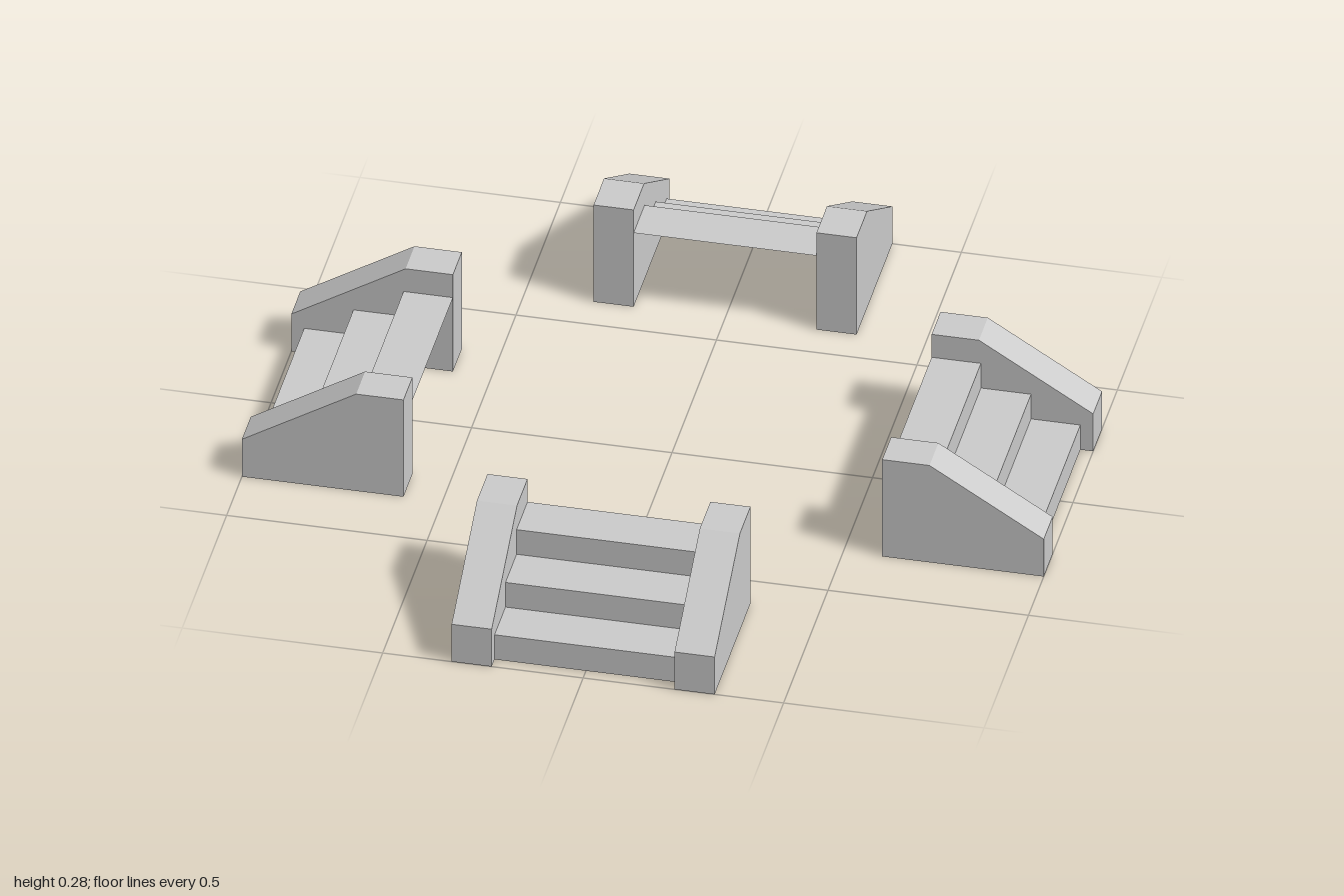
import * as THREE from 'three';

const INNER = 0.597, OUTER = 1;            // distance of a stair's two ends from the centre
const HALF_WIDTH = 0.228, CHEEK = 0.1;     // half tread width, side wall thickness
const NOSES = [0.968, 0.845, 0.72, INNER]; // front edge of each tread, then the back edge
const RISE = 0.0725;

const solid = new THREE.MeshStandardMaterial({ color: 0xcccccc, flatShading: true });
const sheet = new THREE.MeshStandardMaterial({ color: 0xcccccc, flatShading: true, side: THREE.DoubleSide });

function addMesh(parent, name, geometry, material) {
  const mesh = new THREE.Mesh(geometry, material);
  mesh.name = name;
  parent.add(mesh);
  return mesh;
}

// Sloped side wall, its outline drawn in (distance from centre, height)
function cheekGeometry() {
  const outline = new THREE.Shape([
    [INNER, 0], [OUTER, 0], [OUTER, 0.11], [0.715, 0.285], [INNER, 0.285],
  ].map(([d, y]) => new THREE.Vector2(d, y)));
  const geometry = new THREE.ExtrudeGeometry(outline, { depth: CHEEK, bevelEnabled: false });
  return geometry.rotateY(-Math.PI / 2).translate(CHEEK / 2, 0, 0);
}

// One stair climbing towards the centre, descending along +z
function createStair(name) {
  const stair = new THREE.Group();
  stair.name = name;

  const cheek = cheekGeometry();
  for (const [side, label] of [[1, 'left'], [-1, 'right']]) {
    const wall = addMesh(stair, `${label}SideWall`, cheek, solid);
    wall.position.x = side * (HALF_WIDTH + CHEEK / 2);
  }

  // Thin risers and treads, open underneath
  for (let i = 0; i < 3; i++) {
    const depth = NOSES[i] - NOSES[i + 1];
    const riser = addMesh(stair, `riser${i + 1}`, new THREE.PlaneGeometry(HALF_WIDTH * 2, RISE), sheet);
    riser.position.set(0, RISE * (i + 0.5), NOSES[i]);
    const tread = addMesh(stair, `tread${i + 1}`,
      new THREE.PlaneGeometry(HALF_WIDTH * 2, depth).rotateX(-Math.PI / 2), sheet);
    tread.position.set(0, RISE * (i + 1), NOSES[i] - depth / 2);
  }
  return stair;
}

export function createModel() {
  const model = new THREE.Group();
  model.name = 'fourStairs';
  // The same stair on each of the four sides
  ['frontStair', 'leftStair', 'backStair', 'rightStair'].forEach((name, i) => {
    const stair = createStair(name);
    stair.rotation.y = i * Math.PI / 2;
    model.add(stair);
  });
  return model;
}
